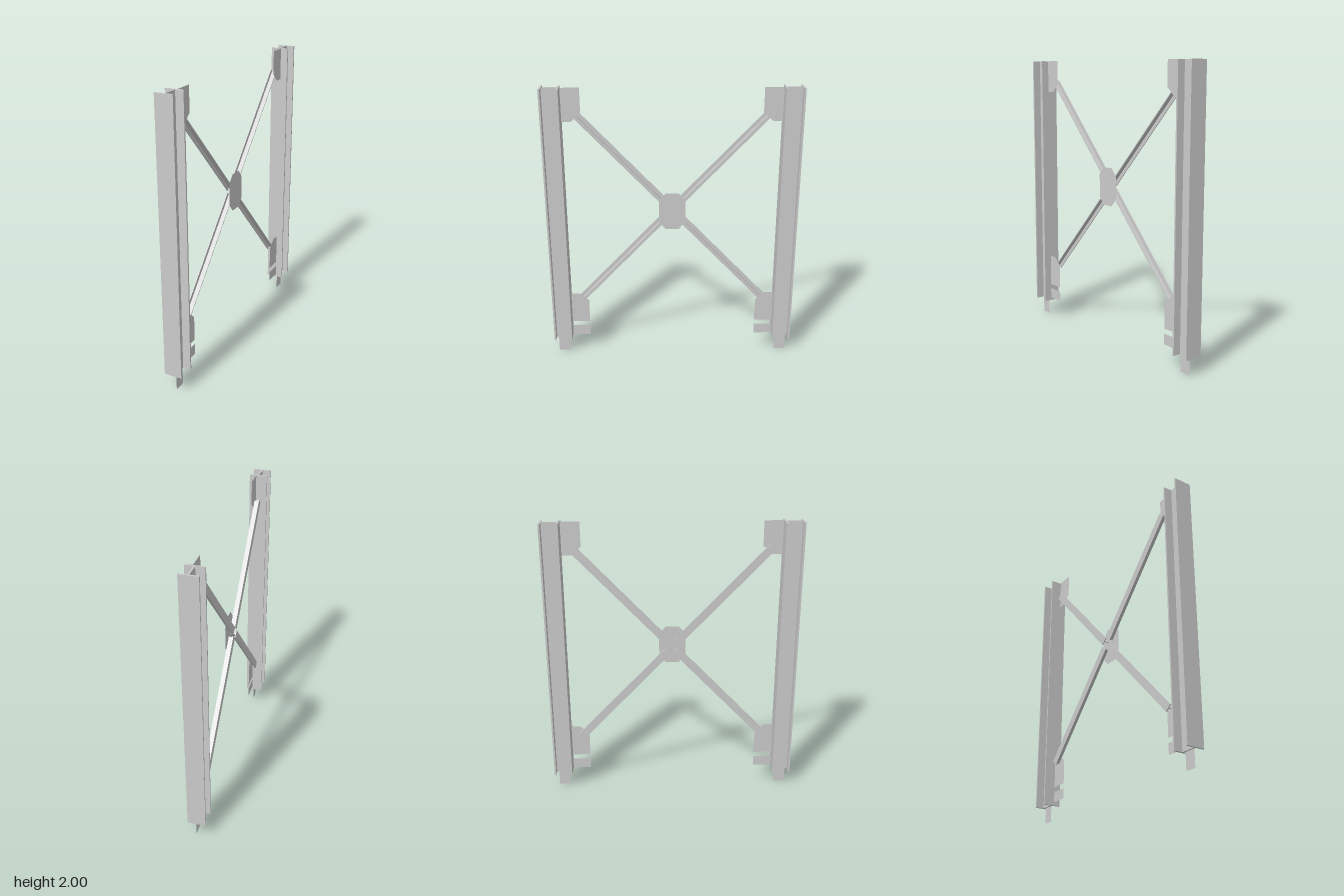
import * as THREE from 'three';

const steel = new THREE.MeshStandardMaterial({ color: 0xcccccc });
const sheet = new THREE.MeshStandardMaterial({ color: 0xcccccc, side: THREE.DoubleSide });

const CENTRE_Y = 1.125; // height where the braces cross
const PLATE_X = 0.012;  // plane of the connection plates

function add(parent, name, geometry, material) {
  const mesh = new THREE.Mesh(geometry, material);
  mesh.name = name;
  parent.add(mesh);
  return mesh;
}

function box(parent, name, size, position) {
  return add(parent, name, new THREE.BoxGeometry(...size), steel).position.set(...position);
}

// Thin upright plate in the zy plane, from [z, y] corners
function plate(parent, name, corners, x) {
  const shape = new THREE.Shape(corners.map(([z, y]) => new THREE.Vector2(z, y)));
  const geometry = new THREE.ShapeGeometry(shape).rotateY(-Math.PI / 2);
  add(parent, name, geometry, sheet).position.x = x;
}

// Connection plate with a tab folded along the column flange
function gusset(parent, name, side, corners, low, high) {
  const group = new THREE.Group();
  group.name = name;
  plate(group, 'gussetPlate', corners.map(([z, y]) => [side * z, y]), PLATE_X);
  const tab = add(group, 'gussetTab', new THREE.PlaneGeometry(0.033, high - low), sheet);
  tab.position.set(PLATE_X + 0.0165, (low + high) / 2, side * 0.738);
  parent.add(group);
}

// I-section column with a splice plate at its foot
function column(side) {
  const group = new THREE.Group();
  group.name = side > 0 ? 'frontColumn' : 'backColumn';
  const height = 1.885, y = 0.115 + height / 2;
  for (const z of [0.751, 0.869]) {
    box(group, 'flange', [0.126, height, 0.012], [-0.002, y, side * z]);
  }
  box(group, 'web', [0.01, height, 0.112], [0, y, side * 0.81]);
  plate(group, 'splicePlate',
    [[0.77, 0], [0.85, 0], [0.85, 0.22], [0.77, 0.22]].map(([z, h]) => [side * z, h]), 0.008);
  return group;
}

// T-section brace from the centre plate out to a corner gusset
function brace(side, up) {
  const group = new THREE.Group();
  group.name = (up > 0 ? 'upper' : 'lower') + (side > 0 ? 'Front' : 'Back') + 'Brace';
  const inner = 0.035, outer = 0.98, length = outer - inner, middle = (inner + outer) / 2;
  box(group, 'braceFlange', [0.006, length, 0.056], [-0.03, middle, 0]);
  box(group, 'braceStem', [0.034, length, 0.006], [-0.012, middle, 0]);
  const tilt = Math.atan2(0.637, 0.672);
  group.rotation.x = side * (up > 0 ? tilt : Math.PI - tilt);
  group.position.y = CENTRE_Y;
  return group;
}

export function createModel() {
  const model = new THREE.Group();
  model.name = 'bracedFrame';

  for (const side of [1, -1]) {
    model.add(column(side));
    for (const up of [1, -1]) model.add(brace(side, up));

    gusset(model, 'upperGusset', side,
      [[0.74, 2], [0.61, 2], [0.61, 1.83], [0.675, 1.77], [0.74, 1.77]], 1.77, 2);
    gusset(model, 'lowerGusset', side,
      [[0.74, 0.25], [0.61, 0.25], [0.61, 0.425], [0.675, 0.483], [0.74, 0.483]], 0.25, 0.483);
    gusset(model, 'footGusset', side,
      [[0.74, 0.14], [0.61, 0.14], [0.61, 0.215], [0.74, 0.215]], 0.14, 0.215);
  }

  // Eight-sided plate where the braces meet
  plate(model, 'centrePlate', [
    [-0.045, 0.99], [0.045, 0.99], [0.092, 1.045], [0.092, 1.205],
    [0.045, 1.26], [-0.045, 1.26], [-0.092, 1.205], [-0.092, 1.045],
  ], PLATE_X);

  return model;
}
